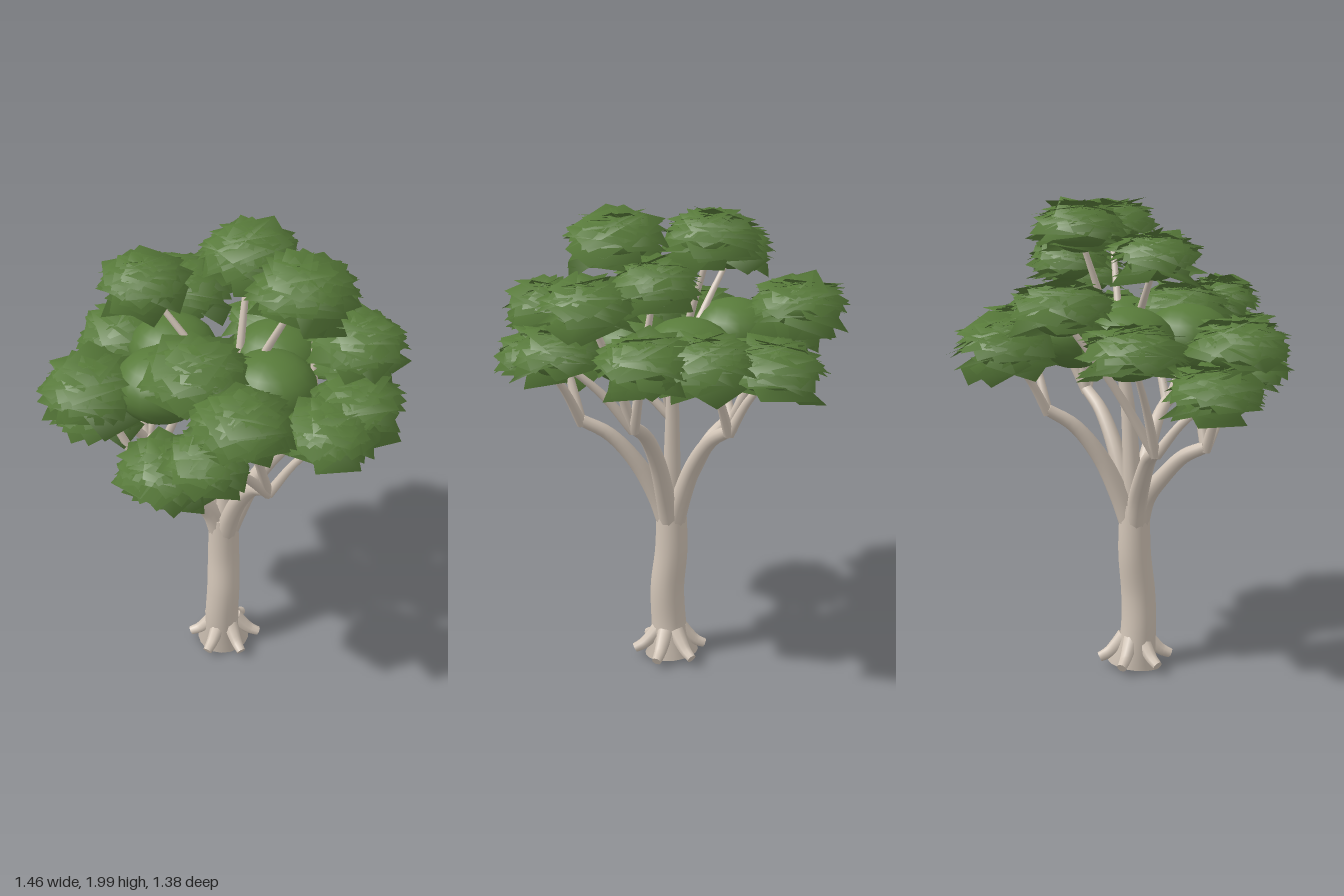
import * as THREE from 'three';
import { mergeGeometries } from 'three/addons/utils/BufferGeometryUtils.js';

const bark = new THREE.MeshStandardMaterial({ color: 0xd2c5b7 });
bark.name = 'bark';
const leaf = new THREE.MeshStandardMaterial({ color: 0x587b3a, side: THREE.DoubleSide });
leaf.name = 'leaf green';

const V = (x, y, z) => new THREE.Vector3(x, y, z);

let seed = 7;
function rand(a = 0, b = 1) {
  seed = (seed * 16807) % 2147483647;
  return a + (b - a) * (seed / 2147483647);
}

function addMesh(parent, name, geometry, material) {
  const mesh = new THREE.Mesh(geometry, material);
  mesh.name = name;
  parent.add(mesh);
  return mesh;
}

// Capped tube along a curve; radiusAt(t) gives its radius from start to end
function taperedTube(points, radiusAt, segments = 12, sides = 10) {
  const curve = new THREE.CatmullRomCurve3(points);
  const tube = new THREE.TubeGeometry(curve, segments, 1, sides);
  const pos = tube.attributes.position;
  const p = V(0, 0, 0);
  for (let i = 0; i < pos.count; i++) {
    const t = Math.floor(i / (sides + 1)) / segments;
    const c = curve.getPointAt(t);
    p.fromBufferAttribute(pos, i).sub(c).multiplyScalar(radiusAt(t)).add(c);
    pos.setXYZ(i, p.x, p.y, p.z);
  }
  const caps = [0, 1].map((t) => {
    const dir = curve.getTangentAt(t).multiplyScalar(t ? 1 : -1);
    const cap = new THREE.CircleGeometry(radiusAt(t), sides);
    cap.applyQuaternion(new THREE.Quaternion().setFromUnitVectors(V(0, 0, 1), dir));
    const c = curve.getPointAt(t);
    return cap.translate(c.x, c.y, c.z);
  });
  return mergeGeometries([tube, ...caps]);
}

function foliageCore(radius) {
  return new THREE.SphereGeometry(radius, 18, 12).scale(1, 0.78, 1);
}

// Round the shading of the sheets so that the clump reads as one soft dome
function roundNormals(geometry, R) {
  const { position, normal } = geometry.attributes;
  const n = V(0, 0, 0);
  for (let i = 0; i < position.count; i++) {
    n.fromBufferAttribute(position, i);
    n.y = n.y * 1.3 + R * 0.45;
    n.normalize();
    normal.setXYZ(i, n.x, n.y, n.z);
  }
  return geometry;
}

// Flattened core with square leaf sheets layered over it as a shallow dome
function foliageClump(x, y, z, R) {
  const group = new THREE.Group();
  group.name = 'foliageClump';
  group.position.set(x, y, z);
  addMesh(group, 'foliageCore', foliageCore(R * 0.6), leaf);
  const sheets = [];
  const count = 44;
  for (let i = 0; i < count; i++) {
    const a = i * 2.4 + rand(-0.3, 0.3);
    const r = Math.sqrt((i + 0.5) / count);
    const size = R * (1.3 - 0.38 * r) * rand(0.85, 1.08);
    const dome = 0.4 * Math.sqrt(1 - r * r * 0.95);
    const height = R * (i % 3 ? dome : rand(-0.32, dome));
    const slope = 0.55 * r;
    const normal = V(
      Math.cos(a) * slope + rand(-0.16, 0.16), 1, Math.sin(a) * slope + rand(-0.16, 0.16)
    ).normalize();
    const sheet = new THREE.PlaneGeometry(size, size);
    sheet.rotateZ(rand(0, Math.PI));
    sheet.applyQuaternion(new THREE.Quaternion().setFromUnitVectors(V(0, 0, 1), normal));
    sheet.translate(Math.cos(a) * r * R * 0.54, height, Math.sin(a) * r * R * 0.54);
    sheets.push(sheet);
  }
  addMesh(group, 'leafSheets', roundNormals(mergeGeometries(sheets), R), leaf);
  return group;
}

// Each limb: its end point, and the clumps it carries as [x, y, z, radius]
const limbs = [
  { end: V(-0.33, 1.02, 0.17), clumps: [
    [-0.49, 1.57, -0.15, 0.2], [-0.52, 1.42, 0.13, 0.2], [-0.33, 1.26, 0.4, 0.19]] },
  { end: V(-0.1, 1.0, 0.32), clumps: [
    [-0.24, 1.42, 0.47, 0.21], [0.21, 1.27, 0.43, 0.19], [0.07, 1.53, 0.18, 0.21]] },
  { end: V(0.36, 1.1, 0.05), clumps: [
    [0.45, 1.54, 0.25, 0.19], [0.54, 1.42, -0.08, 0.18], [0.4, 1.4, 0.37, 0.16]] },
  { end: V(0.22, 1.16, -0.28), clumps: [
    [0.4, 1.65, -0.33, 0.19], [0.22, 1.46, -0.47, 0.19], [0.5, 1.46, -0.25, 0.18],
    [0.15, 1.72, -0.33, 0.18]] },
  { end: V(-0.15, 1.13, -0.33), clumps: [
    [-0.27, 1.4, -0.46, 0.21], [-0.01, 1.44, -0.47, 0.2]] },
  // Central leader carrying the top of the crown
  { end: V(0, 1.26, -0.05), clumps: [
    [-0.31, 1.76, 0.16, 0.18], [-0.11, 1.86, -0.2, 0.2], [0.25, 1.86, -0.17, 0.2]] },
];

// Round masses filling the middle of the crown
const innerMasses = [
  [-0.09, 1.43, 0.24], [-0.29, 1.43, 0.05], [0.18, 1.43, -0.09], [0, 1.43, -0.26],
];

export function createModel() {
  const tree = new THREE.Group();
  tree.name = 'tree';

  // Trunk with a flared foot and a slight sway
  const trunkRadius = (t) => 0.06 + 0.018 * Math.sqrt(1 - t) + 0.04 * Math.exp(-t * 20);
  addMesh(tree, 'trunk', taperedTube(
    [V(-0.01, 0.008, 0), V(0, 0.16, 0.015), V(0.006, 0.32, 0.012), V(-0.008, 0.5, 0), V(-0.008, 0.72, 0)],
    trunkRadius, 28, 18), bark);

  // Roots spreading around the foot
  for (let i = 0; i < 6; i++) {
    const a = 0.12 + (i * Math.PI) / 3;
    const at = (r, y) => V(Math.cos(a) * r, y, Math.sin(a) * r);
    addMesh(tree, 'root', taperedTube(
      [at(0.045, 0.125), at(0.08, 0.085), at(0.115, 0.052), at(0.155, 0.032)],
      (t) => 0.036 - 0.015 * t, 8, 8), bark);
  }

  // Limbs, then branches reaching up into the clumps
  for (const { end, clumps } of limbs) {
    const out = (k, y) => V(end.x * k - 0.01 * (1 - k), y, end.z * k);
    addMesh(tree, 'limb', taperedTube(
      [out(0.05, 0.63), out(0.17, 0.75), out(0.4, 0.64 + (end.y - 0.64) * 0.58),
        out(0.7, 0.64 + (end.y - 0.64) * 0.86), end],
      (t) => 0.046 - 0.021 * t, 18), bark);
    for (const [x, y, z, R] of clumps) {
      const tip = V(x, y - 0.02, z);
      const elbow = end.clone().lerp(tip, 0.45);
      elbow.y += 0.02;
      addMesh(tree, 'branch', taperedTube(
        [end.clone().add(V(0, -0.015, 0)), elbow, tip], (t) => 0.022 - 0.011 * t, 8, 8), bark);
      tree.add(foliageClump(x, y, z, R));
    }
  }

  for (const [x, y, z] of innerMasses) {
    addMesh(tree, 'innerFoliage', foliageCore(0.185), leaf).position.set(x, y, z);
  }

  return tree;
}
